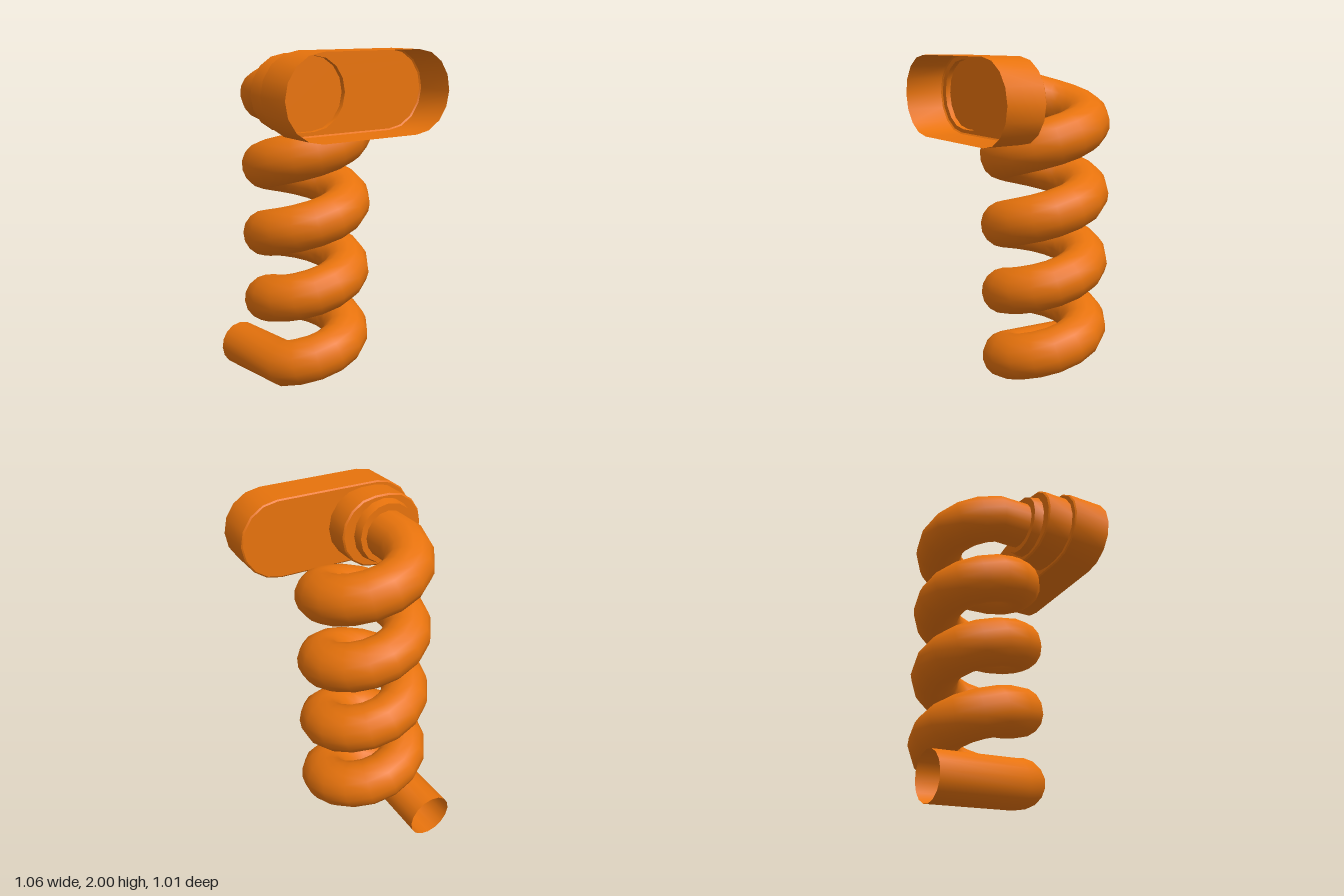
import * as THREE from 'three';
import { toCreasedNormals } from 'three/addons/utils/BufferGeometryUtils.js';

const HELIX_R = 0.24, TUBE_R = 0.136, SIDES = 16, TURNS = 4;
const AXIS_X = -0.005, AXIS_Z = -0.105, Y0 = 0.145, Y1 = 1.771;
const MOUTH_Y = 1.775, PIPE_X = -0.247;

// Path through fixed knots, one tube ring per knot
class KnotPath extends THREE.Curve {
  constructor(knots) {
    super();
    this.knots = knots;
  }
  index(u) {
    return Math.round(u * (this.knots.length - 1));
  }
  getPointAt(u, target = new THREE.Vector3()) {
    return target.copy(this.knots[this.index(u)]);
  }
  getTangentAt(u, target = new THREE.Vector3()) {
    const k = this.knots, i = this.index(u);
    target.set(0, 0, 0);
    if (i > 0) target.add(k[i].clone().sub(k[i - 1]).normalize());
    if (i < k.length - 1) target.add(k[i + 1].clone().sub(k[i]).normalize());
    return target.normalize();
  }
}

function coilKnots() {
  const knots = [new THREE.Vector3(PIPE_X, 0.14, -0.5)];
  const n = TURNS * 16;
  for (let i = 1; i <= n; i++) {
    const a = (i / 16) * Math.PI * 2;
    knots.push(new THREE.Vector3(
      AXIS_X - HELIX_R * Math.cos(a),
      Y0 + (Y1 - Y0) * (i / n),
      AXIS_Z + HELIX_R * Math.sin(a)));
  }
  knots.push(new THREE.Vector3(PIPE_X, Y1, 0.1));
  return knots;
}

// One stadium outline: r is the end radius, half is half the straight length
function stadium([z, r, half, cx]) {
  const ring = [];
  for (const side of [1, -1]) {
    for (let i = 0; i <= 8; i++) {
      const a = -Math.PI / 2 + (i / 8) * Math.PI + (side < 0 ? Math.PI : 0);
      ring.push([cx + side * half + r * Math.cos(a), MOUTH_Y + r * Math.sin(a), z]);
    }
  }
  return ring;
}

// Skin over stadium sections listed from front to back
function loft(sections) {
  const rings = sections.map(stadium), n = rings[0].length, index = [];
  for (let j = 0; j < rings.length - 1; j++) {
    for (let i = 0; i < n; i++) {
      const a = j * n + i, b = j * n + (i + 1) % n;
      index.push(a, a + n, b, b, a + n, b + n);
    }
  }
  const geo = new THREE.BufferGeometry();
  geo.setAttribute('position', new THREE.Float32BufferAttribute(rings.flat(2), 3));
  geo.setIndex(index);
  return toCreasedNormals(geo, 0.6);
}

export function createModel() {
  const group = new THREE.Group();
  const orange = new THREE.MeshStandardMaterial({ color: 0xe8730c, side: THREE.DoubleSide });
  orange.name = 'orange';
  const add = (name, geo) => {
    const mesh = new THREE.Mesh(geo, orange);
    mesh.name = name;
    group.add(mesh);
  };

  // Hollow coiled pipe with straight ends
  const knots = coilKnots();
  add('coiledPipe', new THREE.TubeGeometry(new KnotPath(knots), knots.length - 1, TUBE_R, SIDES, false));

  // Wide mouth, open at the front, with a softened back edge
  add('mouth', loft([
    [0.5, 0.225, 0.306, 0],
    [0.272, 0.225, 0.306, 0],
    [0.265, 0.217, 0.306, 0],
    [0.265, 0.197, 0.045, -0.245],
  ]));

  // Collar behind the mouth, with a shallow recess closed by a floor
  add('collar', loft([
    [0.265, 0.205, 0.045, -0.245],
    [0.113, 0.205, 0.045, -0.245],
    [0.105, 0.196, 0.045, -0.245],
    [0.105, 0.13, 0, -0.247],
  ]));
  add('recessFloor', loft([
    [0.265, 0.197, 0.045, -0.245],
    [0.235, 0.197, 0.045, -0.245],
    [0.235, 0, 0, -0.245],
  ]));

  // Tapered ring where the pipe enters the collar
  add('taperedRing', loft([
    [0.106, 0.185, 0, -0.249],
    [0.051, 0.173, 0, -0.249],
    [0.051, 0.13, 0, -0.247],
  ]));

  return group;
}
